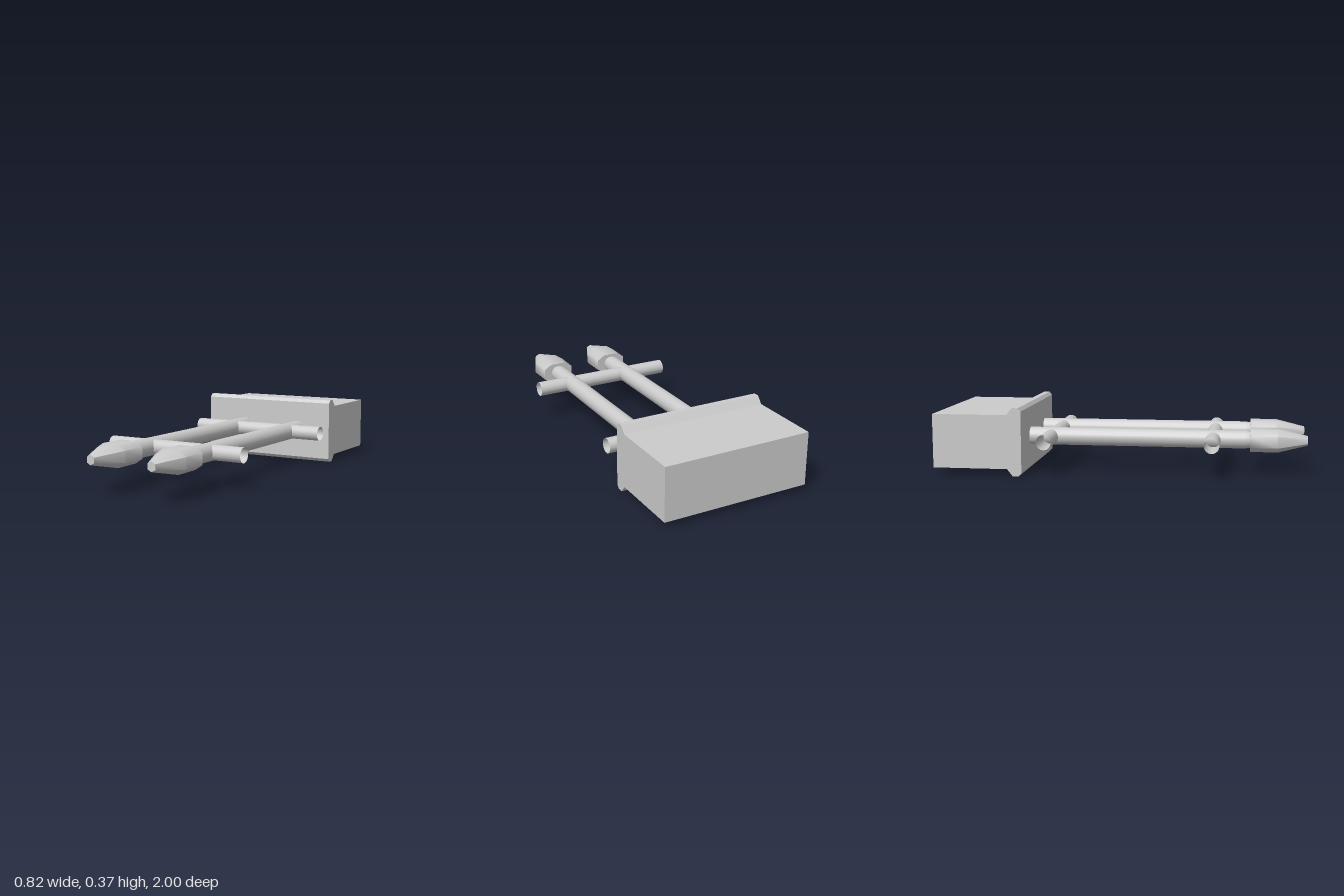
import * as THREE from 'three';
import { toCreasedNormals } from 'three/addons/utils/BufferGeometryUtils.js';

const MID_Y = 0.185;
const ROD_X = [-0.163, 0.198];
const grey = new THREE.MeshStandardMaterial({ color: 0xcccccc });
const greyOpen = new THREE.MeshStandardMaterial({ color: 0xcccccc, side: THREE.DoubleSide });

function add(parent, name, geometry, material = grey) {
  const mesh = new THREE.Mesh(geometry, material);
  mesh.name = name;
  parent.add(mesh);
  return mesh;
}

// Closed loft through equal-length cross-sections, back to front (counter-clockwise seen from +z)
function loft(sections) {
  const n = sections[0].points.length;
  const pos = [], index = [];
  sections.forEach(({ z, points }) => points.forEach(([x, y]) => pos.push(x, y, z)));
  for (let s = 0; s < sections.length - 1; s++) {
    for (let i = 0; i < n; i++) {
      const a = s * n + i, b = s * n + (i + 1) % n;
      index.push(a, b, b + n, a, b + n, a + n);
    }
  }
  const last = (sections.length - 1) * n;
  for (let i = 1; i < n - 1; i++) {
    index.push(0, i + 1, i, last, last + i, last + i + 1);
  }
  const g = new THREE.BufferGeometry();
  g.setAttribute('position', new THREE.Float32BufferAttribute(pos, 3));
  g.setIndex(index);
  return toCreasedNormals(g, 1.0);
}

// Eight-cornered section: flat edges of half-width fx and fy on a box of half-size w by h
const octagon = (w, h, fx, fy) => [
  [w, -fy], [w, fy], [fx, h], [-fx, h], [-w, fy], [-w, -fy], [-fx, -h], [fx, -h],
];

export function createModel() {
  const model = new THREE.Group();
  model.name = 'twoProngedConnector';

  // Block with a flared front flange, extruded across x
  const top = [[-0.515, 0.349], [-0.53, 0.367], [-0.563, 0.367], [-0.594, 0.329], [-1, 0.329]];
  const outline = [...top, ...top.map(([z, y]) => [z, 0.367 - y]).reverse()];
  const shape = new THREE.Shape(outline.map(([z, y]) => new THREE.Vector2(-z, y)));
  const block = new THREE.ExtrudeGeometry(shape, { depth: 0.816, bevelEnabled: false });
  block.translate(0, 0, -0.408).rotateY(Math.PI / 2);
  add(model, 'block', toCreasedNormals(block, 0.6));

  // Two long rods, each ending in a tapered tip
  for (const x of ROD_X) {
    const prong = new THREE.Group();
    prong.name = 'prong';
    prong.position.set(x, MID_Y, 0);
    model.add(prong);

    const profile = [[0.049, -0.53], [0.049, 0.665], [0.043, 0.7]];
    const rod = new THREE.LatheGeometry(profile.map(([r, z]) => new THREE.Vector2(r, z)), 16);
    add(prong, 'rod', rod.rotateX(Math.PI / 2), greyOpen);

    add(prong, 'tip', loft([
      { z: 0.693, points: octagon(0.088, 0.059, 0.045, 0.031) },
      { z: 0.84, points: octagon(0.091, 0.06, 0.046, 0.031) },
      { z: 1, points: octagon(0.022, 0.026, 0, 0.014) },
    ]));
  }

  // Open cross tubes through both rods
  for (const z of [-0.395, 0.495]) {
    const bar = new THREE.CylinderGeometry(0.041, 0.041, 0.816, 16, 1, true);
    add(model, 'crossBar', bar.rotateZ(Math.PI / 2), greyOpen).position.set(0, MID_Y, z);
  }

  return model;
}
